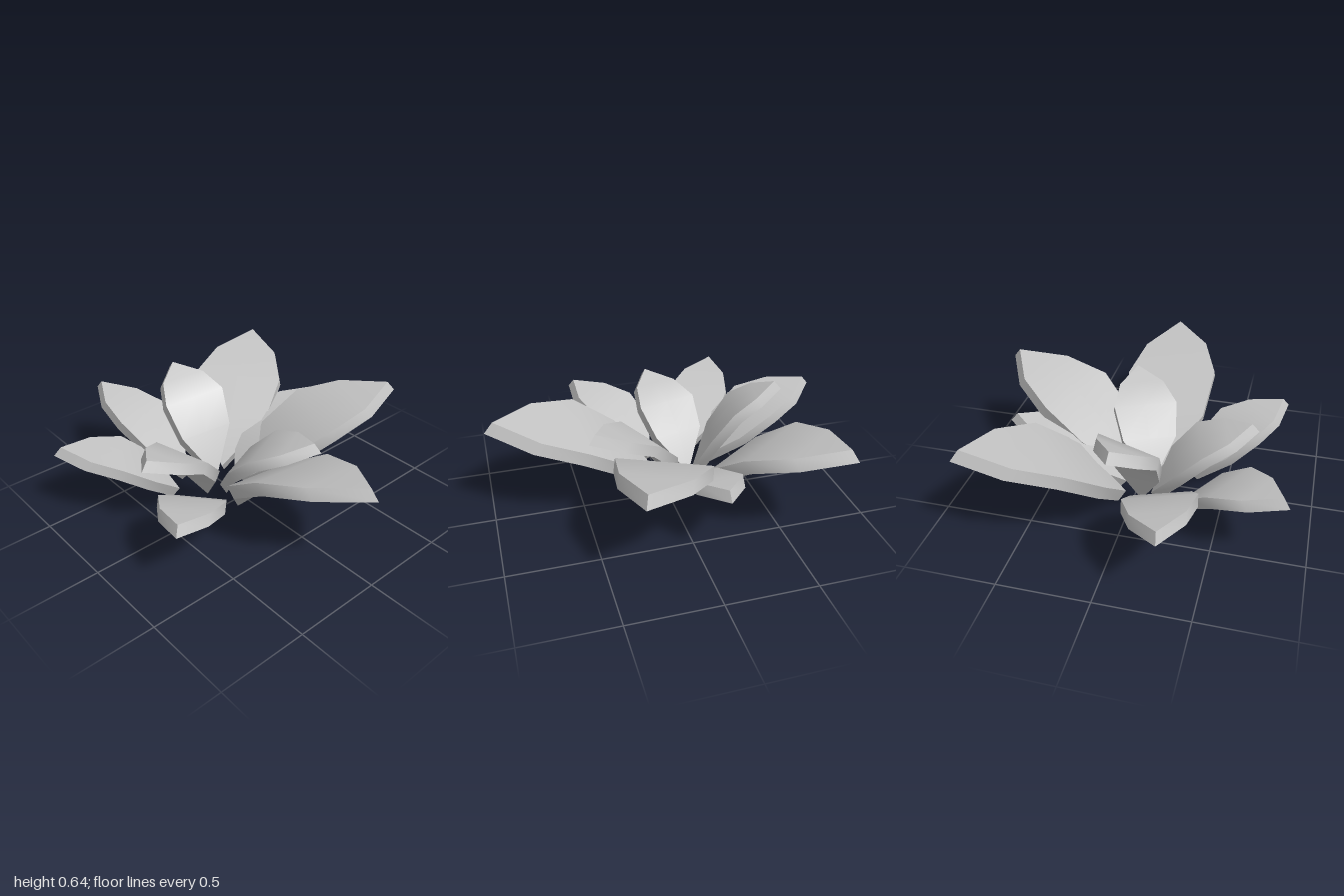
import * as THREE from 'three';
import { mergeGeometries } from 'three/addons/utils/BufferGeometryUtils.js';

// Petal stations: fraction of reach, fraction of rise, fraction of half width
const STATIONS = [
  [0, 0, 0],
  [0.22, 0.47, 0.84],
  [0.48, 0.78, 1],
  [0.75, 0.91, 0.71],
  [1, 1, 0],
];

// Smooth sheet through rows of points
function sheet(rows) {
  const cols = rows[0].length;
  const index = [];
  for (let i = 0; i < rows.length - 1; i++) {
    for (let j = 0; j < cols - 1; j++) {
      const a = i * cols + j, b = a + 1, c = a + cols, d = c + 1;
      index.push(a, c, b, b, c, d);
    }
  }
  const g = new THREE.BufferGeometry();
  g.setAttribute('position', new THREE.Float32BufferAttribute(rows.flat(2), 3));
  g.setIndex(index);
  g.computeVertexNormals();
  return g;
}

// Thick pointed petal growing along +z, arching from steep to flat, rolled about its length
function petalGeometry(reach, rise, halfWidth, thickness, roll) {
  const upper = STATIONS.map(([r, h, w]) => [-1, 0, 1].map((side) => {
    const x = side * w * halfWidth;
    return [x, h * rise + x * roll, r * reach - x * roll * rise / reach];
  }));
  const lower = upper.map((row) => row.map(([x, y, z]) => [x, y - 0.05 * thickness, z + 0.042 * thickness]));
  return mergeGeometries([
    sheet(upper),
    sheet(lower.map((row) => [...row].reverse())),
    sheet(upper.map((row, i) => [row[2], lower[i][2]])),
    sheet(upper.map((row, i) => [lower[i][0], row[0]])),
  ]);
}

export function createModel() {
  const flower = new THREE.Group();
  flower.name = 'flower';
  const grey = new THREE.MeshStandardMaterial({ color: 0xc4c4c4 });
  grey.name = 'petalGrey';

  // base x, y, z; tip x, y, z; half width; thickness factor; sideways roll
  const petals = {
    backLeftLargePetal: [-0.04, 0.085, -0.03, 0.33, 0.6, -0.84, 0.256, 1.15, 0],
    backRightLargePetal: [-0.22, 0.085, -0.03, -0.735, 0.6, -0.74, 0.266, 1.15, 0],
    leftLargePetal: [0.035, 0.085, 0.11, 0.95, 0.6, 0.03, 0.264, 1.15, -0.13],
    backOuterPetal: [-0.13, 0.085, -0.05, -0.12, 0.44, -0.69, 0.18, 1, 0],
    rightOuterPetal: [-0.28, 0.09, 0.19, -0.96, 0.49, 0.31, 0.19, 1, 0.1],
    frontRightOuterPetal: [-0.21, 0.085, 0.3, -0.53, 0.45, 0.845, 0.18, 1, 0],
    frontLeftOuterPetal: [0.02, 0.085, 0.3, 0.405, 0.44, 0.76, 0.178, 1, 0],
    leftInnerPetal: [-0.09, 0.08, 0.095, 0.435, 0.53, -0.125, 0.182, 1, 0],
    rightInnerPetal: [-0.16, 0.08, 0.06, -0.63, 0.645, 0, 0.178, 1, -0.1],
    frontInnerPetal: [-0.16, 0.05, 0.1, -0.03, 0.52, 0.625, 0.18, 1, 0],
  };

  for (const [name, [bx, by, bz, tx, ty, tz, halfWidth, thickness, roll]] of Object.entries(petals)) {
    const reach = Math.hypot(tx - bx, tz - bz);
    const petal = new THREE.Mesh(petalGeometry(reach, ty - by, halfWidth, thickness, roll), grey);
    petal.name = name;
    petal.position.set(bx, by, bz);
    petal.rotation.y = Math.atan2(tx - bx, tz - bz);
    flower.add(petal);
  }
  return flower;
}
